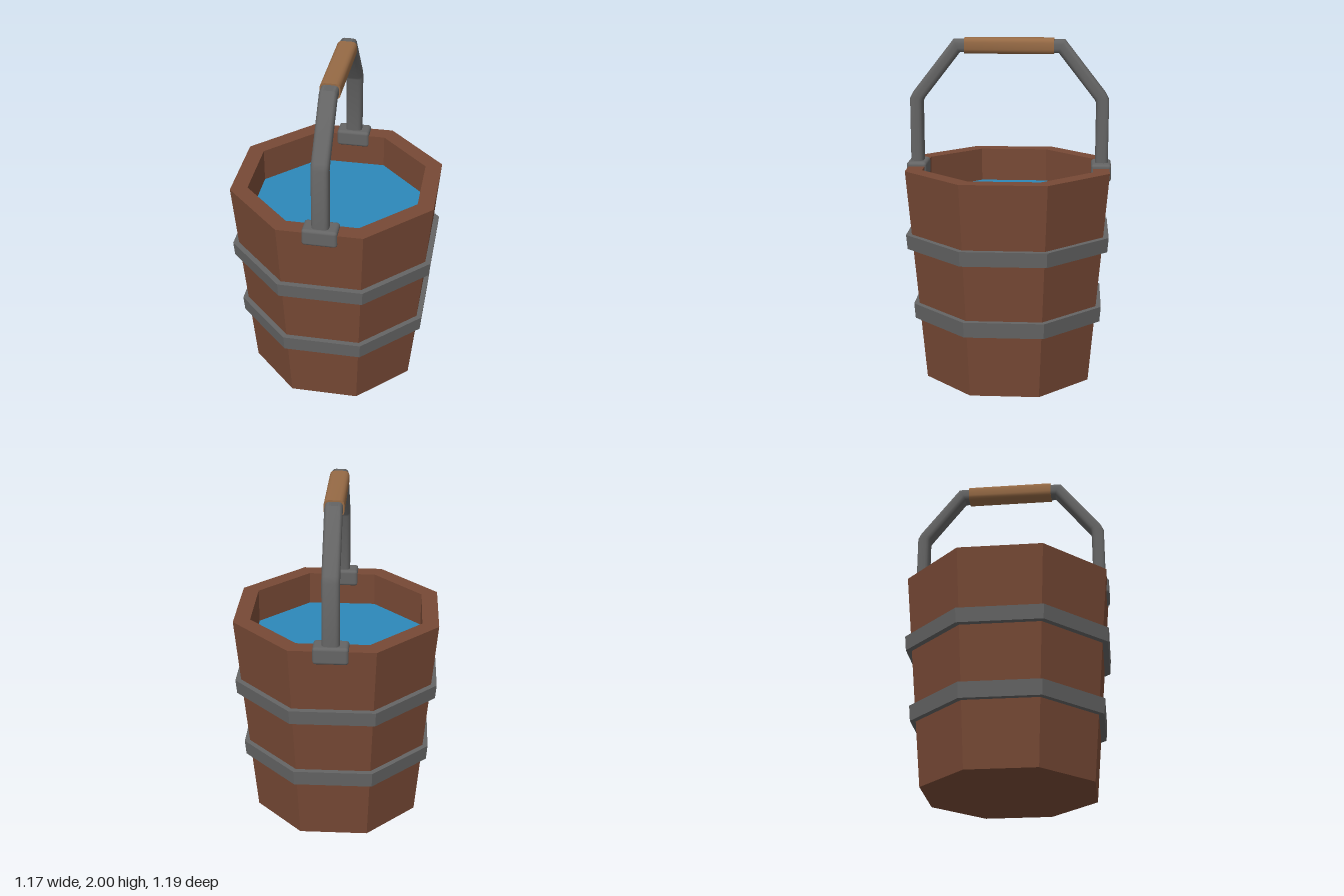
import * as THREE from 'three';
import { toCreasedNormals } from 'three/addons/utils/BufferGeometryUtils.js';
import { RoundedBoxGeometry } from 'three/addons/geometries/RoundedBoxGeometry.js';

const material = (name, color) => {
  const m = new THREE.MeshStandardMaterial({ color });
  m.name = name;
  return m;
};

const SIDES = 8;
const CORNER = 1 / Math.cos(Math.PI / SIDES); // flat-to-centre distance -> corner radius

// Flat-faced octagonal solid from a profile of [flat-to-centre distance, height]
function octagon(profile) {
  const points = profile.map(([r, y]) => new THREE.Vector2(r * CORNER, y));
  const g = new THREE.LatheGeometry(points, SIDES, Math.PI / SIDES).toNonIndexed();
  g.computeVertexNormals();
  return g;
}

// Rounded rectangle swept along a path in the z/y plane, with mitred bends
function sweptBar(path, width, depth, radius) {
  const ring = [];
  for (const [sx, sn, start] of [[1, 1, 0], [-1, 1, 1], [-1, -1, 2], [1, -1, 3]]) {
    for (let k = 0; k <= 3; k++) {
      const a = (start + k / 3) * Math.PI / 2;
      ring.push([sx * (width / 2 - radius) + Math.cos(a) * radius,
        sn * (depth / 2 - radius) + Math.sin(a) * radius]);
    }
  }
  const pts = path.map(([z, y]) => new THREE.Vector2(z, y));
  const n = ring.length, position = [], index = [];
  pts.forEach((p, i) => {
    const before = i > 0 ? p.clone().sub(pts[i - 1]).normalize() : null;
    const after = i < pts.length - 1 ? pts[i + 1].clone().sub(p).normalize() : null;
    const t = (before || after).clone().add(after || before).normalize();
    const mitre = 1 / t.dot(before || after);
    for (const [x, d] of ring) position.push(x, p.y - t.x * d * mitre, p.x + t.y * d * mitre);
    if (i === 0) return;
    for (let j = 0; j < n; j++) {
      const a = (i - 1) * n + j, b = (i - 1) * n + (j + 1) % n;
      index.push(a, a + n, b, b, a + n, b + n);
    }
  });
  // End caps
  const last = (pts.length - 1) * n;
  for (let j = 1; j < n - 1; j++) index.push(0, j, j + 1, last, last + j + 1, last + j);
  const g = new THREE.BufferGeometry();
  g.setAttribute('position', new THREE.Float32BufferAttribute(position, 3));
  g.setIndex(index);
  return toCreasedNormals(g, 0.9);
}

export function createModel() {
  const wood = material('wood', 0x774935);
  const metal = material('metal', 0x646464);
  const water = material('water', 0x2d88b9);
  const gripWood = material('gripWood', 0x966a45);

  const model = new THREE.Group();
  model.name = 'bucket';
  const add = (name, geometry, mat, x = 0, y = 0, z = 0) => {
    const mesh = new THREE.Mesh(geometry, mat);
    mesh.name = name;
    mesh.position.set(x, y, z);
    model.add(mesh);
    return mesh;
  };

  // Tapered tub with a thick rim and hollow top
  const twist = 0.006;
  add('tub', octagon([[0, 0], [0.478, 0], [0.583, 1.26], [0.489, 1.26], [0.489, 1.0]]), wood)
    .rotation.y = twist;

  // Water surface
  add('water', octagon([[0.492, 1.06], [0, 1.06]]), water).rotation.y = twist;

  // Two metal hoops following the taper
  for (const [name, y0, y1, r0, r1] of [
    ['lowerHoop', 0.375, 0.465, 0.54, 0.547],
    ['upperHoop', 0.8, 0.885, 0.577, 0.584],
  ]) {
    add(name, octagon([[r0 - 0.06, y0], [r0, y0], [r1, y1], [r1 - 0.06, y1]]), metal)
      .rotation.y = twist;
  }

  // Brackets gripping the rim
  const centre = 0.005;
  for (const [name, side] of [['frontBracket', 1], ['backBracket', -1]]) {
    add(name, new RoundedBoxGeometry(0.197, 0.102, 0.116, 3, 0.018), metal, centre, 1.233, side * 0.537);
  }

  // Bent metal handle
  const half = [[0.539, 1.22], [0.539, 1.642], [0.526, 1.668], [0.302, 1.954]];
  const path = [...half.map(([z, y]) => [-z, y]), ...half.reverse()];
  add('handle', sweptBar(path, 0.098, 0.074, 0.024), metal, centre);

  // Wooden grip around the handle top
  add('grip', sweptBar([[-0.258, 1.955], [0.256, 1.955]], 0.112, 0.09, 0.026), gripWood, centre);

  return model;
}
